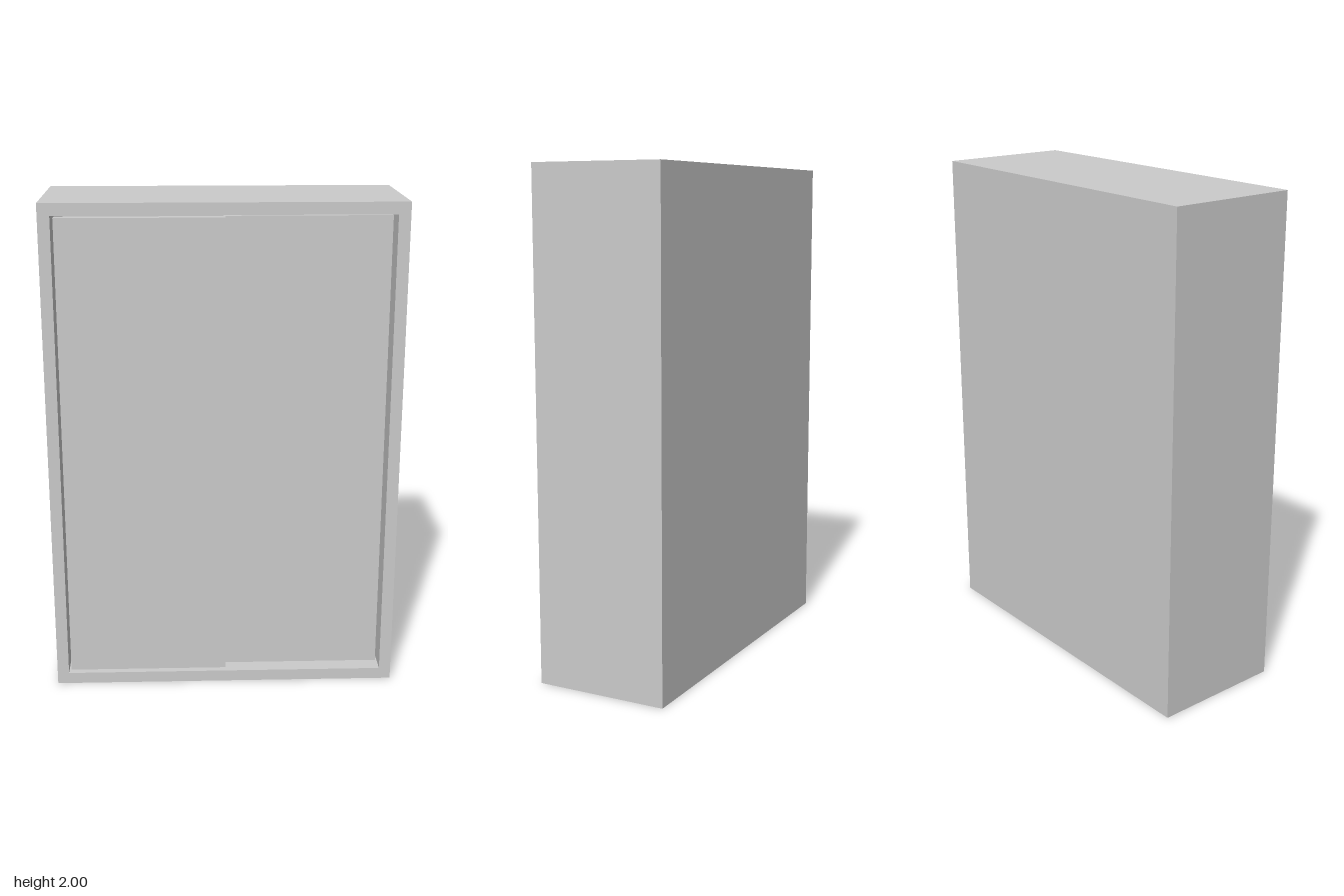
import * as THREE from 'three';

const W = 1.4, H = 2, D = 0.54;           // outer size
const WALL = 0.047, BACK = 0.02;          // carcass wall and back thickness
const GAP = 0.01, DOOR = 0.04;            // clearance round the doors, door thickness

export function createModel() {
  const model = new THREE.Group();
  model.name = 'wardrobe';
  const material = new THREE.MeshStandardMaterial({ color: 0xcccccc });

  const add = (name, geometry, x, y, z) => {
    const mesh = new THREE.Mesh(geometry, material);
    mesh.name = name;
    mesh.position.set(x, y, z);
    model.add(mesh);
  };

  // Rectangle path, centred on the origin
  const rect = (path, w, h) => {
    path.moveTo(-w / 2, -h / 2);
    path.lineTo(w / 2, -h / 2);
    path.lineTo(w / 2, h / 2);
    path.lineTo(-w / 2, h / 2);
    path.closePath();
    return path;
  };

  // Carcass: sides, top and bottom as one open frame
  const openW = W - 2 * WALL, openH = H - 2 * WALL;
  const frame = rect(new THREE.Shape(), W, H);
  frame.holes.push(rect(new THREE.Path(), openW, openH));
  add('carcass', new THREE.ExtrudeGeometry(frame, { depth: D, bevelEnabled: false }), 0, H / 2, -D / 2);

  // Back panel, set inside the frame and flush with its rear
  add('backPanel', new THREE.BoxGeometry(openW, openH, BACK), 0, H / 2, -D / 2 + BACK / 2);

  // Sliding doors on two tracks; the rear one runs behind the front one
  const edge = openW / 2 - GAP, doorH = openH - 2 * GAP;
  const door = (name, x0, x1, recess) =>
    add(name, new THREE.BoxGeometry(x1 - x0, doorH, DOOR), (x0 + x1) / 2, H / 2, D / 2 - recess - DOOR / 2);
  door('frontSlidingDoor', -edge, 0.003, 0.01);
  door('rearSlidingDoor', -0.003, edge, 0.053);

  return model;
}
